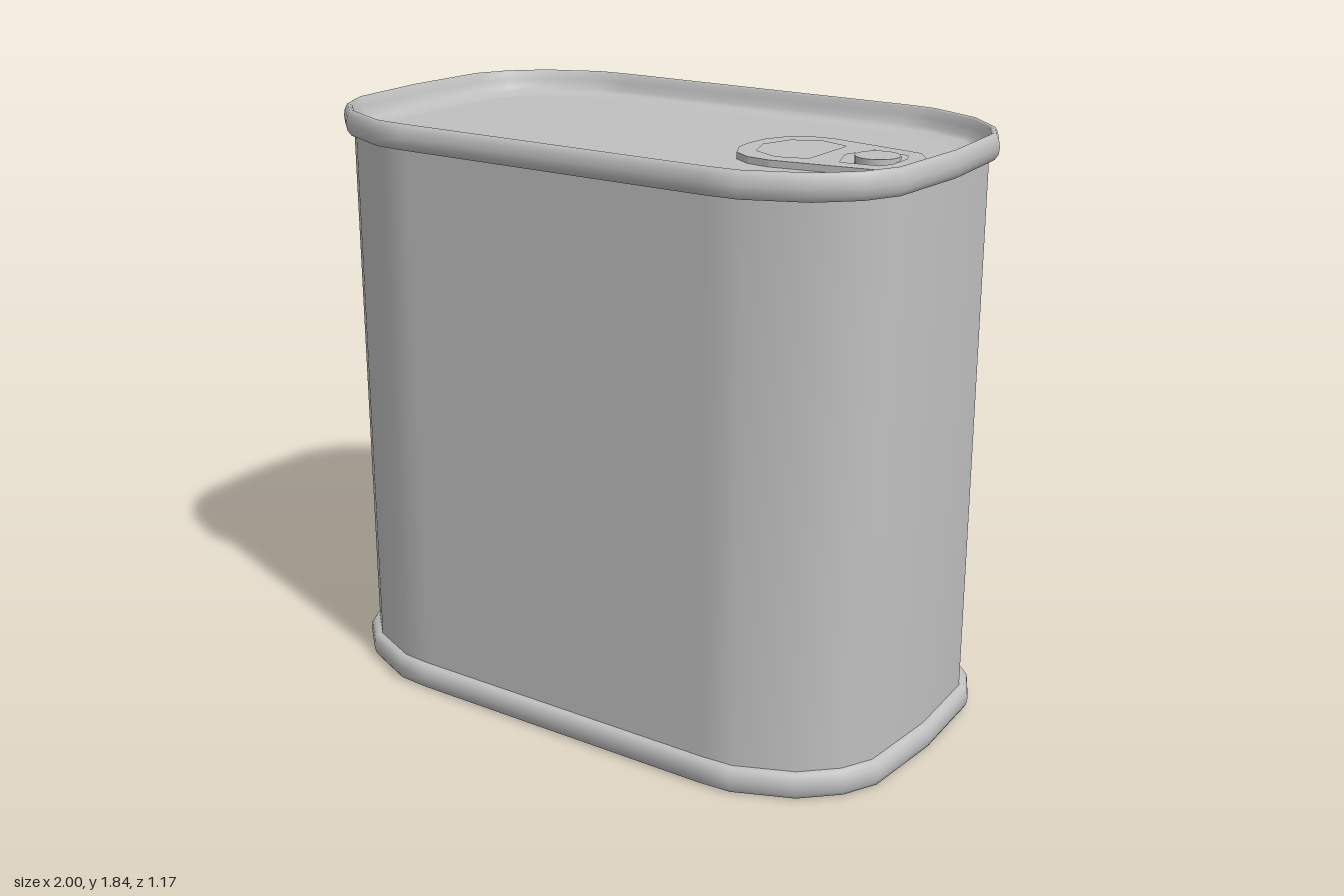
import * as THREE from 'three';

const HEIGHT = 1.84;
const LID_Y = 1.765;

// One quarter of the can outline (x, z), from the end to the middle of the long side
const quarter = [[1, 0], [0.98, 0.29], [0.925, 0.4], [0.82, 0.5], [0.64, 0.578], [0.53, 0.586]];

// Mirror the quarter into a closed ring running from +x towards +z
function makeOutline() {
  const half = [...quarter, ...quarter.slice().reverse().map(([x, z]) => [-x, z])];
  return [...half, ...half.slice(1, -1).reverse().map(([x, z]) => [x, -z])];
}
const outline = makeOutline();

// Outline moved inwards by d along its corner normals
function inset(d) {
  const n = outline.length;
  return outline.map(([x, z], i) => {
    const p = outline[(i + n - 1) % n], q = outline[(i + 1) % n];
    const dx = q[0] - p[0], dz = q[1] - p[1], l = Math.hypot(dx, dz);
    return [x - (dz / l) * d, z + (dx / l) * d];
  });
}

// Smooth skin through rings given as [inset, y]; inset null closes at the centre
function loft(profile) {
  const n = outline.length, pos = [], index = [];
  profile.forEach(([d, y]) => {
    const ring = d === null ? outline.map(() => [0, 0]) : inset(d);
    ring.forEach(([x, z]) => pos.push(x, y, z));
  });
  for (let i = 0; i < profile.length - 1; i++) {
    for (let j = 0; j < n; j++) {
      const a = i * n + j, b = i * n + (j + 1) % n, c = a + n, e = b + n;
      if (profile[i][0] !== null) index.push(a, c, b);
      if (profile[i + 1][0] !== null) index.push(b, c, e);
    }
  }
  const g = new THREE.BufferGeometry();
  g.setAttribute('position', new THREE.Float32BufferAttribute(pos, 3));
  g.setIndex(index);
  g.computeVertexNormals();
  return g;
}

const shapeFrom = (pts, Type = THREE.Shape) =>
  new Type(pts.map(([x, z]) => new THREE.Vector2(x, -z)));

export function createModel() {
  const can = new THREE.Group();
  can.name = 'tinCan';
  const metal = new THREE.MeshStandardMaterial({ color: 0xc0c0c0 });
  metal.name = 'greyMetal';
  const add = (name, geometry, parent = can) => {
    const mesh = new THREE.Mesh(geometry, metal);
    mesh.name = name;
    parent.add(mesh);
    return mesh;
  };

  // Side wall
  add('body', loft([[0.03, 0.06], [0.03, HEIGHT - 0.06]]));

  // Rolled rim running into the inner wall and the recessed panel
  const rim = [
    [0.034, 1.758], [0.014, 1.762], [0.003, 1.778], [0, 1.8], [0.004, 1.822],
    [0.012, 1.836], [0.02, HEIGHT], [0.027, 1.834], [0.034, 1.81], [0.042, 1.785],
    [0.056, 1.772], [0.11, LID_Y],
  ];
  const panel = [[0.11, LID_Y], [null, LID_Y]];
  const flip = (profile) => profile.map(([d, y]) => [d, HEIGHT - y]).reverse();
  add('topRim', loft(rim));
  add('lid', loft(panel));
  add('bottomRim', loft(flip(rim)));
  add('base', loft(flip(panel)));

  // Pull tab with finger hole and rivet hole
  const tab = new THREE.Group();
  tab.name = 'pullTab';
  can.add(tab);
  const tabShape = shapeFrom([
    [0.31, -0.01], [0.318, -0.09], [0.355, -0.16], [0.415, -0.198], [0.49, -0.206],
    [0.8, -0.155], [0.865, -0.07], [0.88, -0.015], [0.865, 0.04], [0.8, 0.125],
    [0.49, 0.176], [0.415, 0.168], [0.355, 0.13], [0.318, 0.06],
  ]);
  tabShape.holes.push(
    shapeFrom([[0.357, -0.01], [0.39, -0.11], [0.48, -0.152], [0.572, -0.122],
      [0.572, 0.092], [0.48, 0.122], [0.39, 0.08]], THREE.Path),
    shapeFrom([[0.63, -0.015], [0.668, -0.118], [0.785, -0.1], [0.805, -0.06],
      [0.805, 0.03], [0.785, 0.07], [0.668, 0.088]], THREE.Path),
  );
  const tabGeometry = new THREE.ExtrudeGeometry(tabShape, { depth: 0.02, bevelEnabled: false });
  tabGeometry.rotateX(-Math.PI / 2);
  add('tabPlate', tabGeometry, tab).position.y = LID_Y;

  // Rivet holding the tab
  add('rivet', new THREE.CylinderGeometry(0.066, 0.066, 0.03, 16), tab)
    .position.set(0.734, LID_Y + 0.015, -0.015);

  return can;
}
